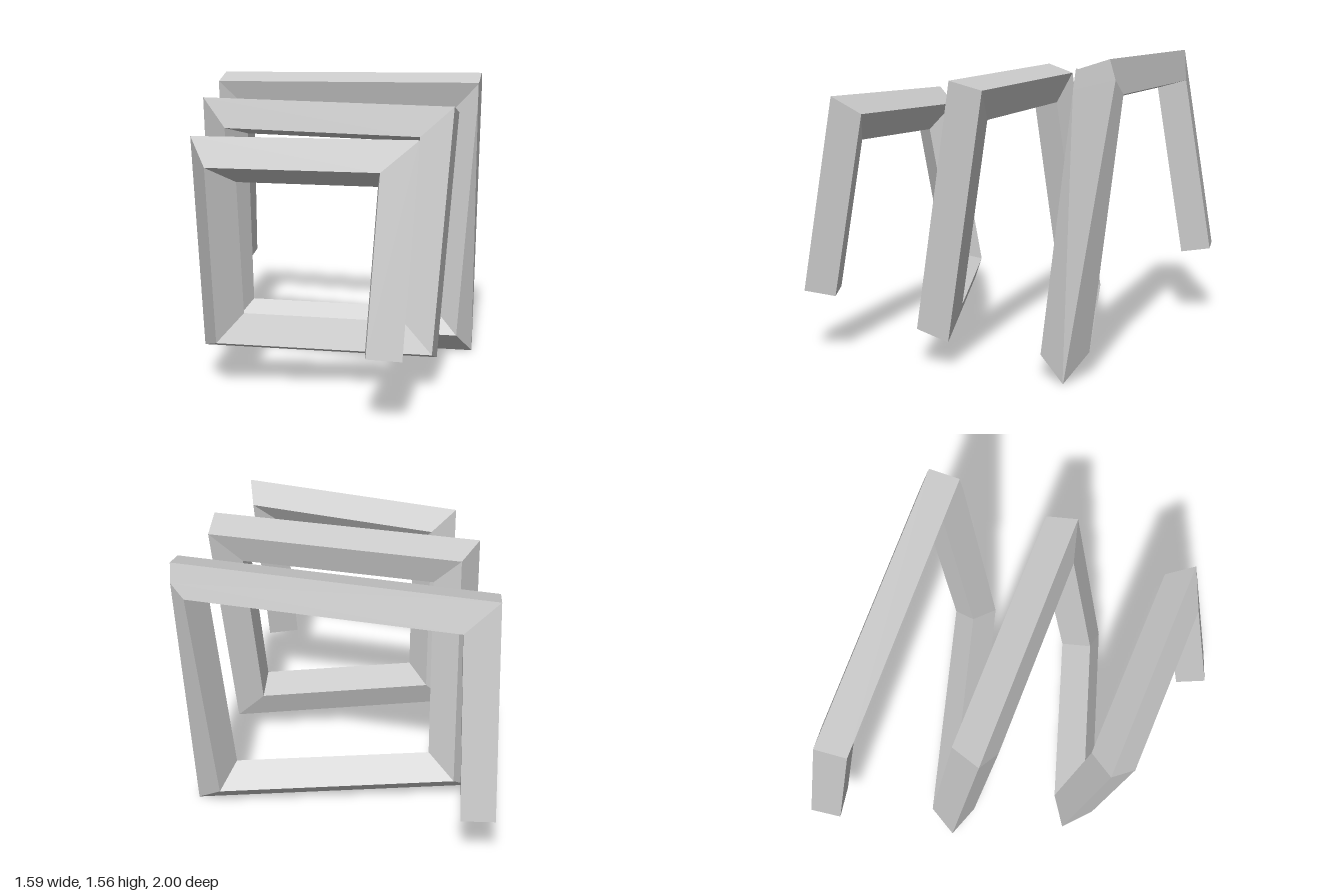
import * as THREE from 'three';

const V = (x, y, z) => new THREE.Vector3(x, y, z);

// Centre line of the angular coil, from the small front end to the large back end
const path = [
  [0.51, 0.34, 0.905], [0.545, 1.24, 0.74], [-0.415, 1.21, 0.57], [-0.42, 0.29, 0.405],
  [0.59, 0.25, 0.245], [0.65, 1.353, 0.072], [-0.55, 1.355, -0.095], [-0.565, 0.168, -0.26],
  [0.683, 0.13, -0.42], [0.76, 1.465, -0.59], [-0.68, 1.437, -0.755], [-0.715, 0.405, -0.918],
].map(p => V(...p));

const CUT_X = 0.79; // the outermost corner is sliced flat here

// Square bar swept along the path, mitred at every corner
function mitredRings() {
  const dirs = path.slice(1).map((p, i) => p.clone().sub(path[i]).normalize());
  const a = V(-0.0675, 0.02, 0.095), b = V(0.1, 0.0075, 0.0625);
  let ring = [a, b, a.clone().negate(), b.clone().negate()]
    .map(o => o.projectOnPlane(dirs[0]).add(path[0]));
  const rings = [ring];
  for (let i = 1; i < path.length; i++) {
    const d = dirs[i - 1];
    const n = d.clone().add(dirs[i] ?? d);
    ring = ring.map(p => {
      const t = path[i].clone().sub(p).dot(n) / d.dot(n);
      return p.clone().addScaledVector(d, t);
    });
    rings.push(ring);
  }
  return rings;
}

// Keep the part of a face with x <= CUT_X and note where it is cut
function clipFace(face, cutPoints) {
  const out = [];
  face.forEach((p, i) => {
    const q = face[(i + 1) % face.length];
    if (p.x <= CUT_X) out.push(p);
    if ((p.x <= CUT_X) !== (q.x <= CUT_X)) {
      const c = p.clone().lerp(q, (CUT_X - p.x) / (q.x - p.x));
      out.push(c);
      cutPoints.push(c);
    }
  });
  return out;
}

function barGeometry() {
  const rings = mitredRings();
  const last = rings[rings.length - 1];
  const faces = [[...rings[0]].reverse(), last];
  for (let i = 0; i + 1 < rings.length; i++) {
    for (let j = 0; j < 4; j++) {
      const k = (j + 1) % 4;
      faces.push([rings[i][j], rings[i][k], rings[i + 1][k], rings[i + 1][j]]);
    }
  }

  const cut = [];
  const clipped = faces.map(f => clipFace(f, cut));

  // Flat face closing the slice
  if (cut.length > 2) {
    const c = cut.reduce((s, p) => s.add(p), V(0, 0, 0)).divideScalar(cut.length);
    const angle = p => Math.atan2(p.z - c.z, p.y - c.y);
    clipped.push([...cut].sort((p, q) => angle(p) - angle(q)));
  }

  const points = [];
  for (const f of clipped) {
    for (let i = 1; i + 1 < f.length; i++) points.push(f[0], f[i], f[i + 1]);
  }
  const geometry = new THREE.BufferGeometry().setFromPoints(points);
  geometry.computeVertexNormals();
  return geometry;
}

export function createModel() {
  const group = new THREE.Group();
  group.name = 'squareCoilSculpture';
  const bar = new THREE.Mesh(
    barGeometry(),
    new THREE.MeshStandardMaterial({ color: 0xcccccc, flatShading: true })
  );
  bar.name = 'coiledBar';
  group.add(bar);
  return group;
}
